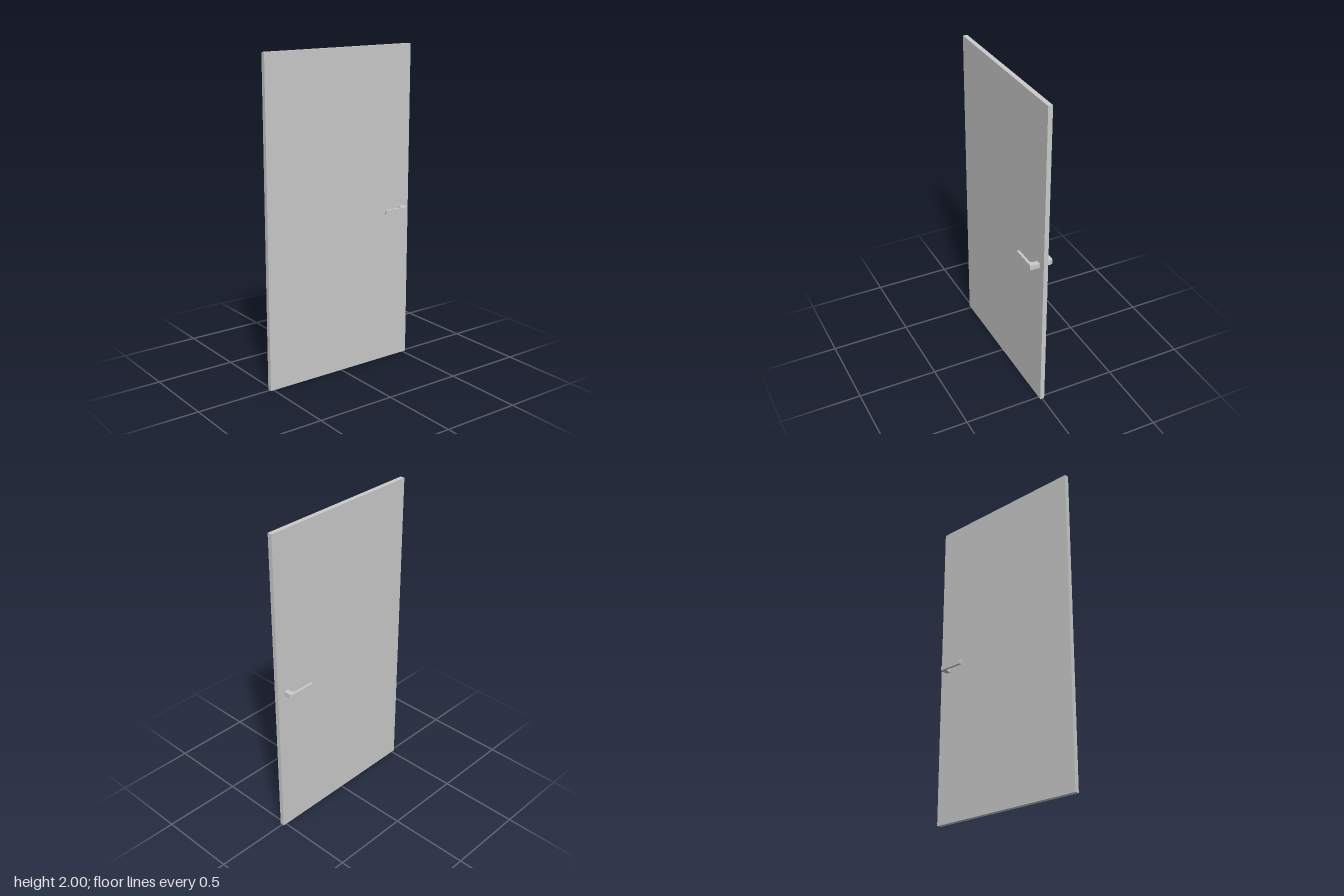
import * as THREE from 'three';

const material = new THREE.MeshStandardMaterial({ color: 0xcccccc, flatShading: true });

// Lever outline seen from above: [x, distance from the door's mid-plane]
const LEVER = [
  [0.475, 0.01], [0.475, 0.056], [0.467, 0.072], [0.303, 0.072],
  [0.303, 0.057], [0.43, 0.057], [0.444, 0.042], [0.444, 0.01],
];
const LEVER_BOTTOM = 0.968;
const LEVER_HEIGHT = 0.029;

function makeLever(name, side) {
  // Shape y becomes -z once the extrusion is stood upright
  const shape = new THREE.Shape(LEVER.map(([x, d]) => new THREE.Vector2(x, -side * d)));
  const geometry = new THREE.ExtrudeGeometry(shape, { depth: LEVER_HEIGHT, bevelEnabled: false });
  geometry.rotateX(-Math.PI / 2);
  const lever = new THREE.Mesh(geometry, material);
  lever.name = name;
  lever.position.y = LEVER_BOTTOM;
  return lever;
}

export function createModel() {
  const door = new THREE.Group();
  door.name = 'door';

  // Flat door leaf
  const leaf = new THREE.Mesh(new THREE.BoxGeometry(1.044, 2, 0.028), material);
  leaf.name = 'doorLeaf';
  leaf.position.y = 1;
  door.add(leaf);

  // Mirrored lever handles on both faces
  door.add(makeLever('frontHandle', 1), makeLever('backHandle', -1));
  return door;
}
